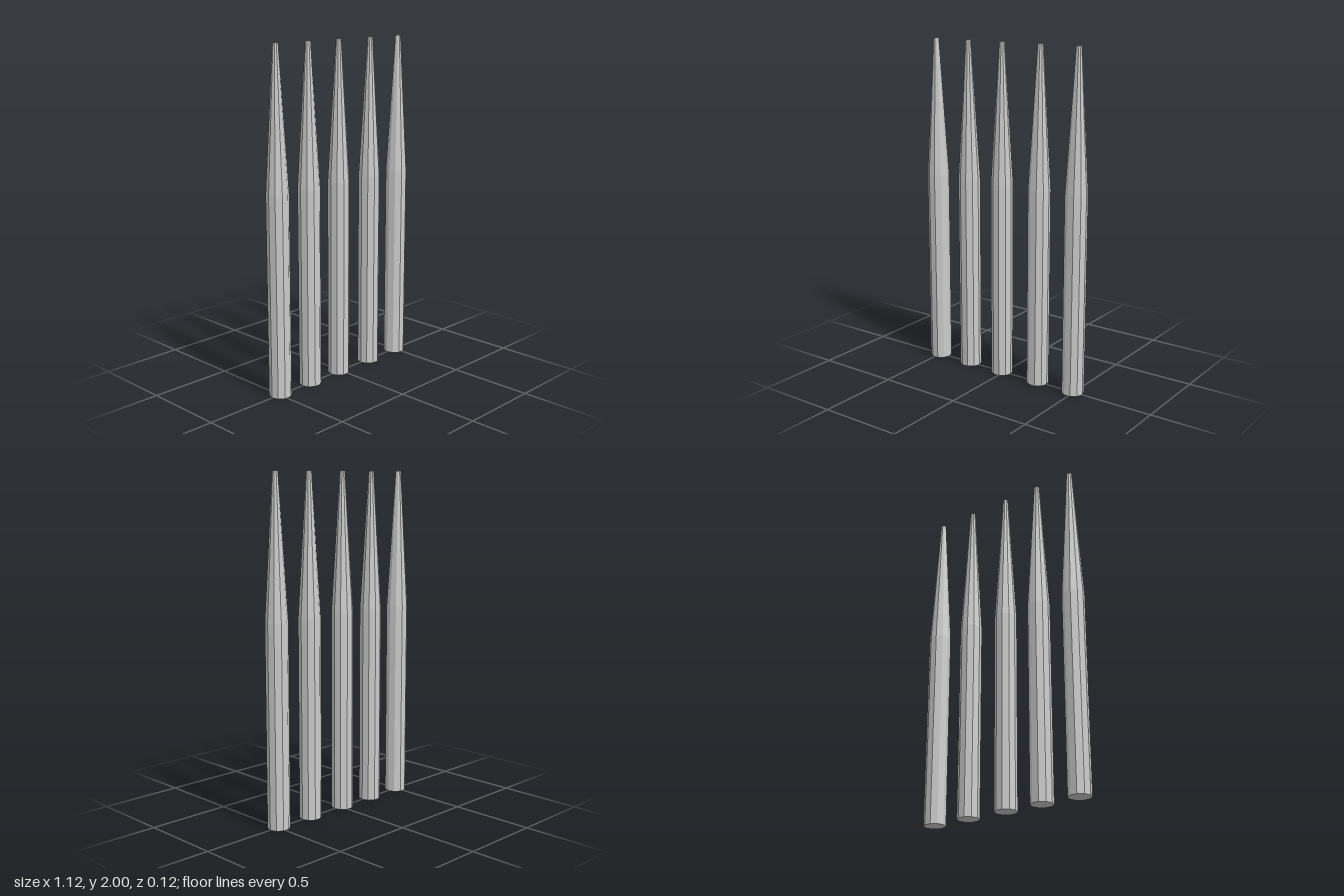
import * as THREE from 'three';

export function createModel() {
  const model = new THREE.Group();
  model.name = 'stakeRow';
  const material = new THREE.MeshStandardMaterial({ color: 0xcccccc, flatShading: true });

  // Ten-sided stake: straight shaft, long taper, small blunt tip, closed at both ends
  const profile = [[0, 0], [0.065, 0], [0.065, 1.18], [0.016, 2], [0, 2]]
    .map(([r, y]) => new THREE.Vector2(r, y));
  const geometry = new THREE.LatheGeometry(profile, 10, Math.PI / 2);

  // Slightly uneven spacing along x
  [-0.494, -0.255, -0.015, 0.247, 0.494].forEach((x, i) => {
    const stake = new THREE.Mesh(geometry, material);
    stake.name = `stake${i + 1}`;
    stake.position.x = x;
    model.add(stake);
  });
  return model;
}
